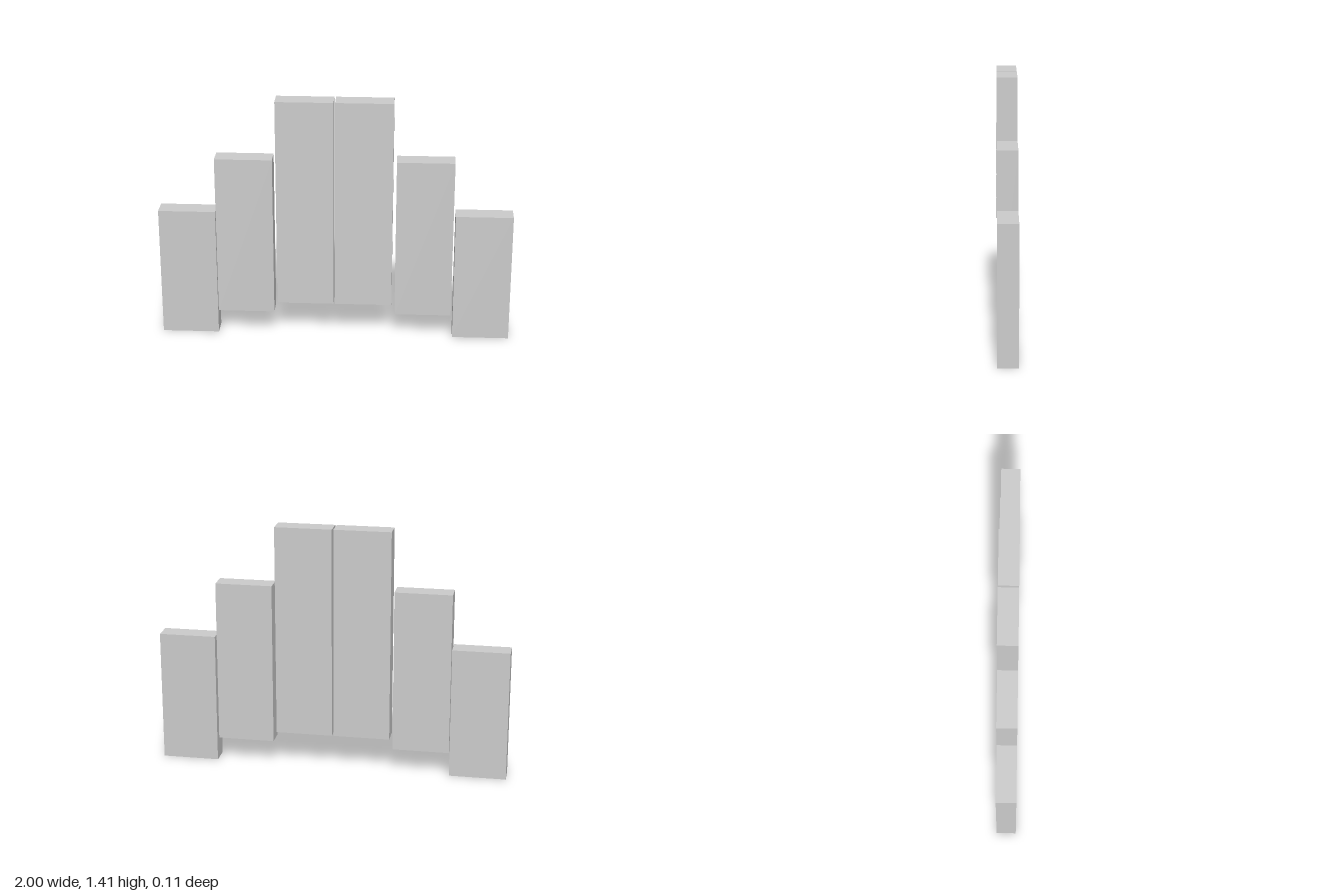
import * as THREE from 'three';

// Six flat panels in a row, stepping up towards the middle
export function createModel() {
  const group = new THREE.Group();
  const material = new THREE.MeshStandardMaterial({ color: 0xcccccc });
  const width = 0.323, depth = 0.112;

  // name, centre x, bottom y, top y
  const panels = [
    ['outerPanelRight', -0.8385, 0, 0.753],
    ['middlePanelRight', -0.512, 0.138, 1.07],
    ['innerPanelRight', -0.17, 0.196, 1.41],
    ['innerPanelLeft', 0.162, 0.196, 1.41],
    ['middlePanelLeft', 0.504, 0.138, 1.07],
    ['outerPanelLeft', 0.8385, 0, 0.753],
  ];

  for (const [name, x, bottom, top] of panels) {
    const panel = new THREE.Mesh(new THREE.BoxGeometry(width, top - bottom, depth), material);
    panel.name = name;
    panel.position.set(x, (bottom + top) / 2, 0);
    group.add(panel);
  }
  return group;
}
